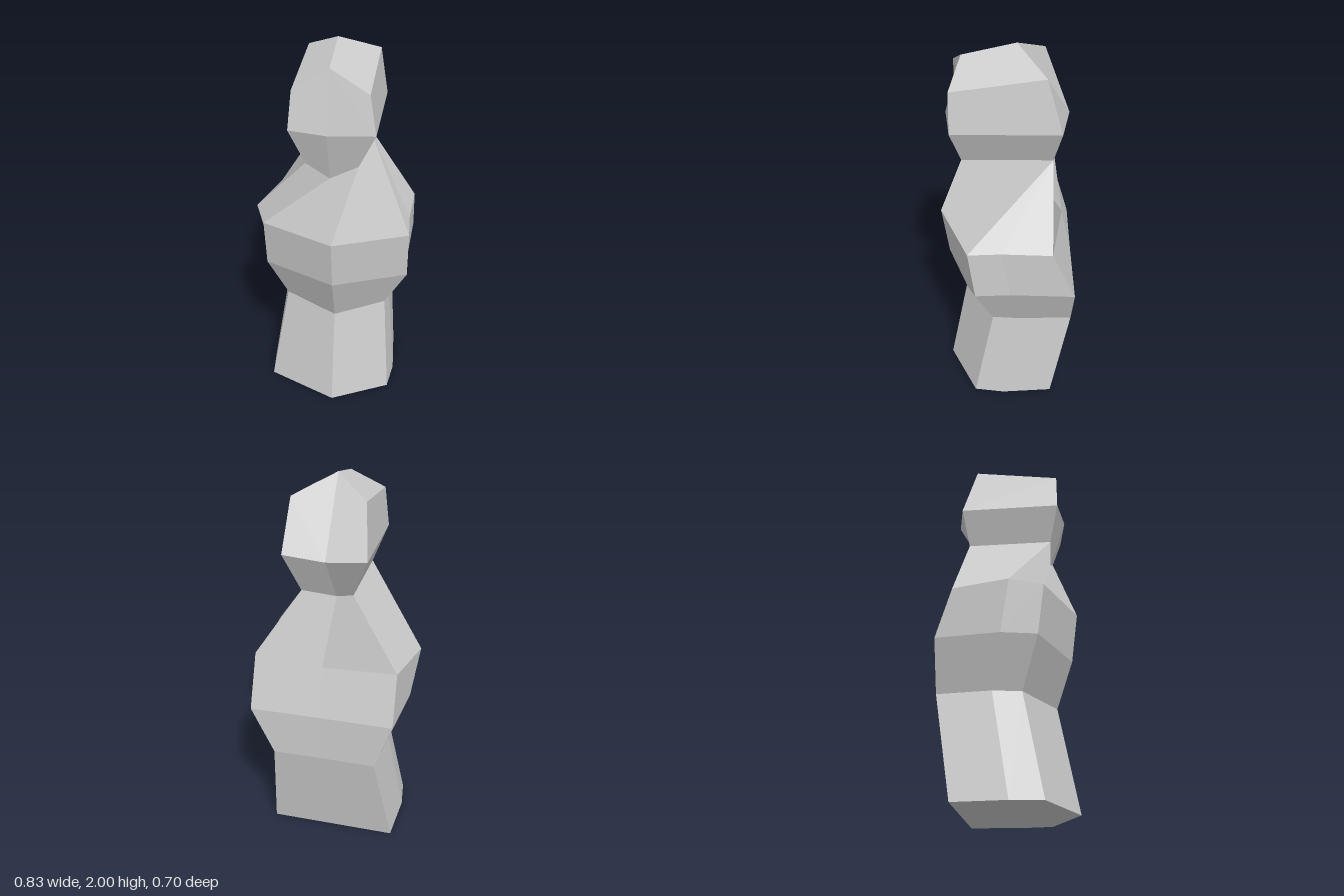
import * as THREE from 'three';

const material = new THREE.MeshStandardMaterial({ color: 0xcccccc });

// Quads [a, b, c, d] are split from a to c, and each is shaded as one flat facet.
function facets(quads) {
  const positions = [], normals = [];
  for (const quad of quads) {
    const [a, b, c, d] = quad.map((p) => new THREE.Vector3(...p));
    const normal = c.clone().sub(a).cross(d.clone().sub(b)).normalize();
    for (const p of [a, b, c, a, c, d]) {
      positions.push(...p.toArray());
      normals.push(...normal.toArray());
    }
  }
  const geo = new THREE.BufferGeometry();
  geo.setAttribute('position', new THREE.Float32BufferAttribute(positions, 3));
  geo.setAttribute('normal', new THREE.Float32BufferAttribute(normals, 3));
  return geo;
}

// Joins stacked rings (counter-clockwise from above); the first `turned` sides split the other way.
function loft(rings, turned = 0) {
  const quads = [];
  for (let r = 0; r + 1 < rings.length; r++) {
    const lo = rings[r], up = rings[r + 1], n = lo.length;
    for (let i = 0; i < n; i++) {
      const j = (i + 1) % n;
      quads.push(i < turned ? [lo[j], up[j], up[i], lo[i]] : [lo[i], lo[j], up[j], up[i]]);
    }
  }
  return quads;
}

// Eight-sided body ring: front, right corner, right, back right, back, back left, left, left corner.
function bodyRing({ y, front, corner, mid, back, xCorner, xSide }) {
  const [xl, xr] = xCorner, [sl, sr] = xSide, [bl, bc, br] = back;
  return [
    [0.04, y, front], [xr, y, corner], [sr, y, mid], [xr, y, br],
    [0.04, y, bc], [xl, y, bl], [sl, y, mid], [xl, y, corner],
  ];
}

// Six-sided head ring: front centre, two right points, back centre, two left points.
function headRing({ xl, xr, yFront, yBack, zFront, zBack, front, back }) {
  return [
    [0.013, ...front], [xr, yFront, zFront], [xr, yBack, zBack],
    [0.013, ...back], [xl, yBack, zBack], [xl, yFront, zFront],
  ];
}

export function createModel() {
  const group = new THREE.Group();
  const add = (name, quads) => {
    const mesh = new THREE.Mesh(facets(quads), material);
    mesh.name = name;
    group.add(mesh);
  };

  // Rings of the base, waist, hips and shoulders
  const body = [
    { y: 0, front: 0.333, corner: 0.18, mid: 0.02, back: [-0.25, -0.25, -0.25], xCorner: [-0.335, 0.342], xSide: [-0.355, 0.362] },
    { y: 0.54, front: 0.23, corner: 0.075, mid: -0.07, back: [-0.347, -0.345, -0.347], xCorner: [-0.25, 0.298], xSide: [-0.275, 0.306] },
    { y: 0.80, front: 0.315, corner: 0.16, mid: -0.02, back: [-0.349, -0.347, -0.349], xCorner: [-0.34, 0.415], xSide: [-0.375, 0.405] },
    { y: 1.07, front: 0.35, corner: 0.193, mid: 0.025, back: [-0.27, -0.288, -0.228], xCorner: [-0.34, 0.415], xSide: [-0.415, 0.405] },
  ].map(bodyRing);

  // Rings of the neck, cheeks and crown
  const [neck, cheeks, crown] = [
    { xl: -0.105, xr: 0.155, yFront: 1.457, yBack: 1.457, zFront: 0.222, zBack: -0.226, front: [1.377, 0.215], back: [1.377, -0.09] },
    { xl: -0.178, xr: 0.239, yFront: 1.645, yBack: 1.645, zFront: 0.268, zBack: -0.26, front: [1.645, 0.3], back: [1.645, -0.302] },
    { xl: -0.155, xr: 0.207, yFront: 1.845, yBack: 1.91, zFront: 0.266, zBack: -0.183, front: [1.94, 0.215], back: [2, -0.045] },
  ].map(headRing);

  // Shoulders twist into the neck, so some neck points serve several sides
  const [chin, nrf, nrb, nape, nlb, nlf] = neck;
  const collar = [nrf, nrb, nrb, nrb, nape, nlb, nlf, chin];

  // Flat underside, as a fan about its middle
  const base = body[0], middle = [0, 0, 0];
  const floor = base.map((p, i) => [middle, base[(i + 1) % base.length], p, p]);
  add('body', [...loft([...body, collar]), ...floor]);

  // Two roof slopes close the head along its ridge
  const [pf, rf, rb, pb, lb, lf] = crown;
  add('head', [...loft([neck, cheeks, crown], 3), [pf, rf, rb, pb], [lf, pf, pb, lb]]);

  return group;
}
